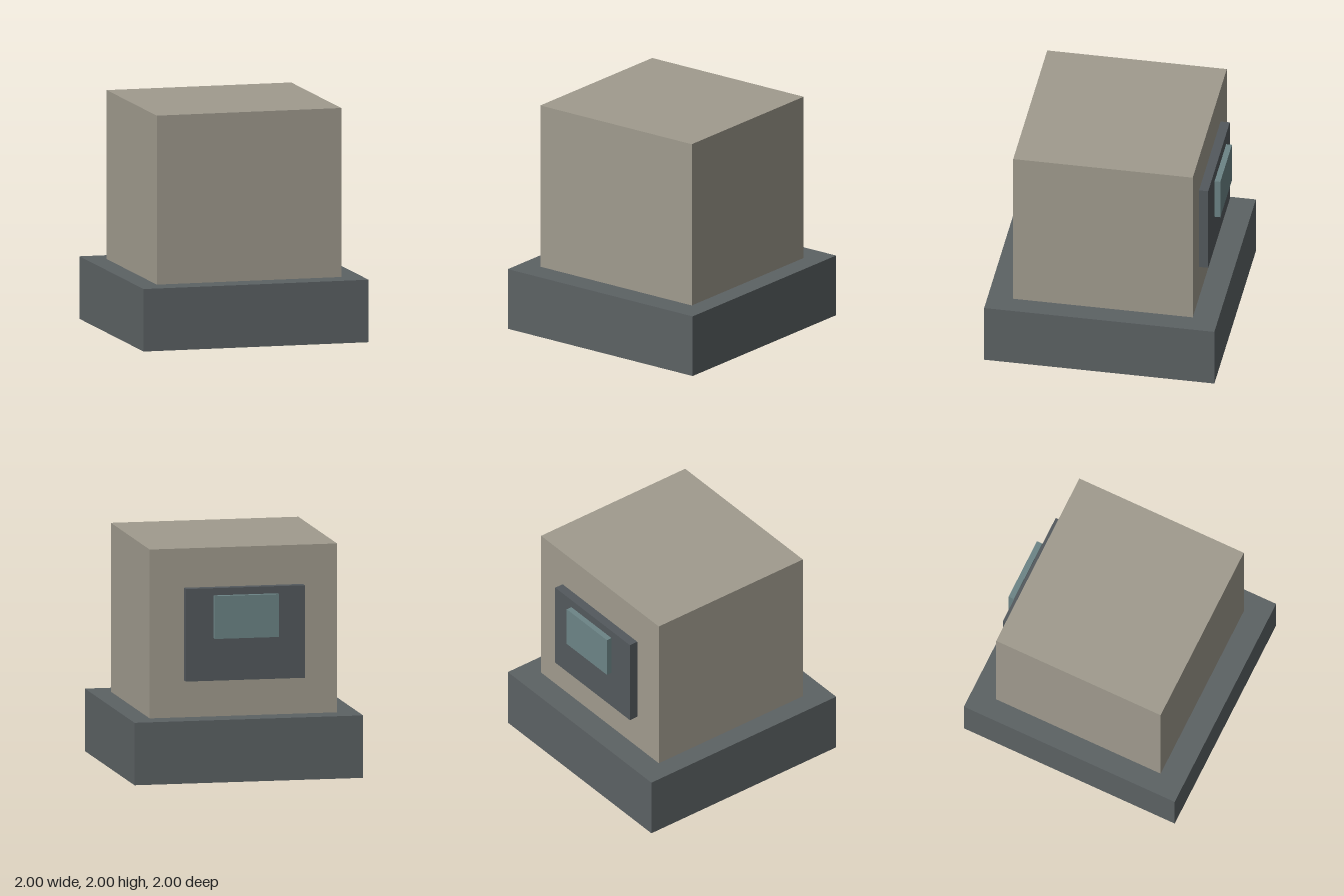
import * as THREE from 'three';

export function createModel() {
  const model = new THREE.Group();

  // Box given by its full size, bottom height and centre depth
  function addBox(name, color, [w, h, d], bottom, z = 0) {
    const mesh = new THREE.Mesh(
      new THREE.BoxGeometry(w, h, d),
      new THREE.MeshStandardMaterial({ color })
    );
    mesh.name = name;
    mesh.position.set(0, bottom + h / 2, z);
    model.add(mesh);
  }

  // Wide plinth and the block standing on it
  addBox('base', 0x5c6264, [2, 0.54, 2], 0);
  addBox('body', 0xa09b8e, [1.64, 1.46, 1.56], 0.54);

  // Panel on the back, with a screen floating just clear of it
  addBox('backPanel', 0x53595d, [1.04, 0.8, 0.08], 0.86, -0.82);
  addBox('screen', 0x6c8486, [0.56, 0.37, 0.05], 1.23, -0.897);

  return model;
}
